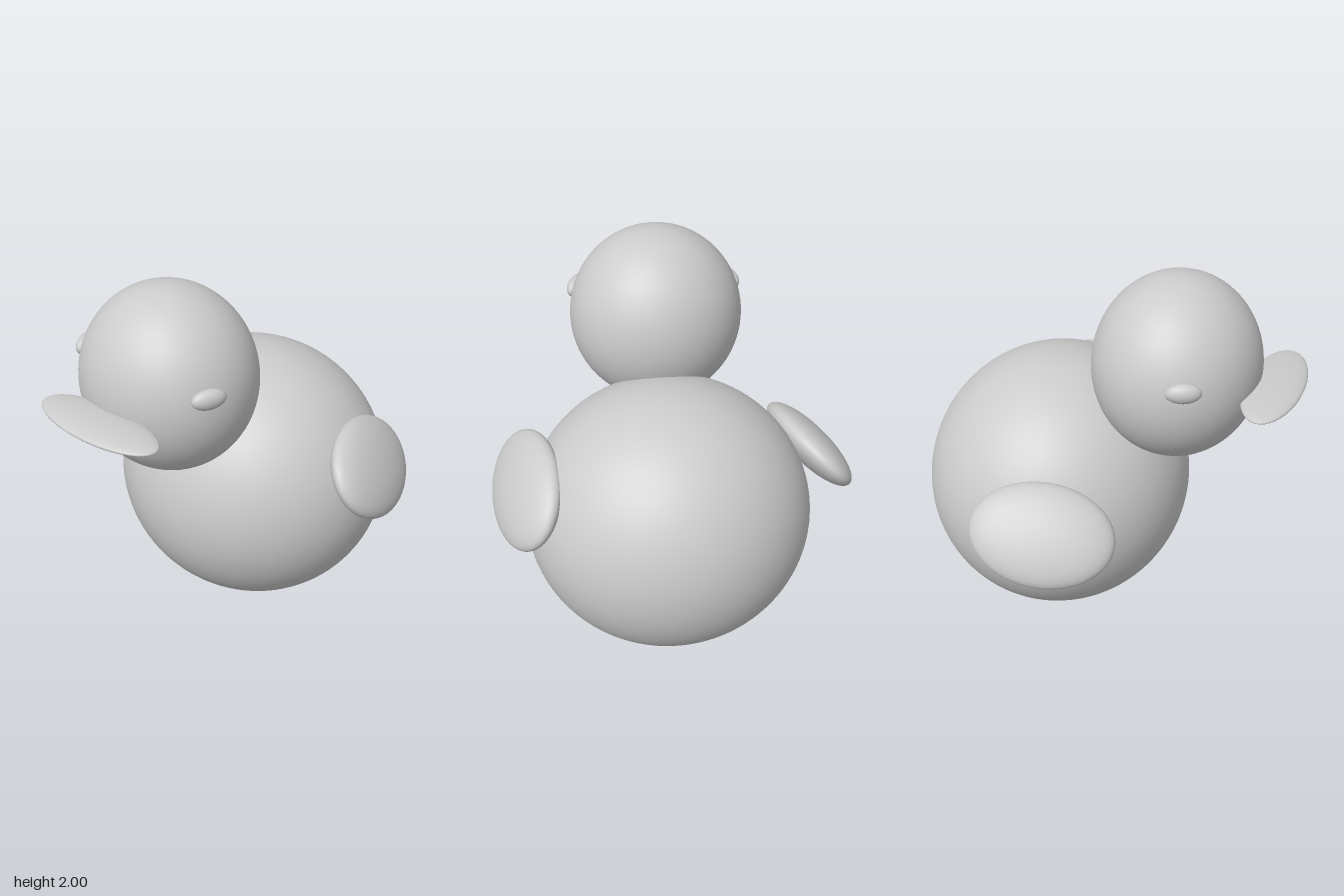
import * as THREE from 'three';

const material = new THREE.MeshStandardMaterial({ color: 0xcccccc });

// Smooth ellipsoid from centre, semi-axes and tilt
function ellipsoid(name, position, radii, rotation = [0, 0, 0], segments = 48) {
  const geometry = new THREE.SphereGeometry(1, segments, segments / 2);
  geometry.scale(...radii);
  const mesh = new THREE.Mesh(geometry, material);
  mesh.name = name;
  mesh.position.set(...position);
  mesh.rotation.set(...rotation);
  return mesh;
}

export function createModel() {
  const bird = new THREE.Group();
  bird.name = 'bird';
  const midZ = 0.037;

  // Round body and head, beak pointing to -x
  bird.add(
    ellipsoid('body', [0.283, 0.717, midZ], [0.702, 0.715, 0.738], [0, 0, 0], 96),
    ellipsoid('head', [-0.358, 1.53, midZ], [0.423, 0.47, 0.447], [0, 0, 0], 80),
    ellipsoid('beak', [-0.847, 1.487, 0.07], [0.144, 0.033, 0.36])
  );

  // Eyes, one on each side of the head and turned along its surface
  for (const side of [1, -1]) {
    bird.add(ellipsoid(side > 0 ? 'frontEye' : 'backEye',
      [-0.517, 1.62, midZ + side * 0.406], [0.086, 0.05, 0.04], [0, -side * 0.4, 0], 32));
  }

  // Flat oval wings, flared outward at the bottom, each with its own tilt
  const wingRadii = [0.357, 0.256, 0.1];
  bird.add(
    ellipsoid('frontWing', [0.352, 0.977, 0.757], wingRadii, [-0.61, 0.245, 0.03], 64),
    ellipsoid('backWing', [0.05, 0.907, -0.742], wingRadii, [0.725, 0.28, -0.06], 64)
  );

  return bird;
}
